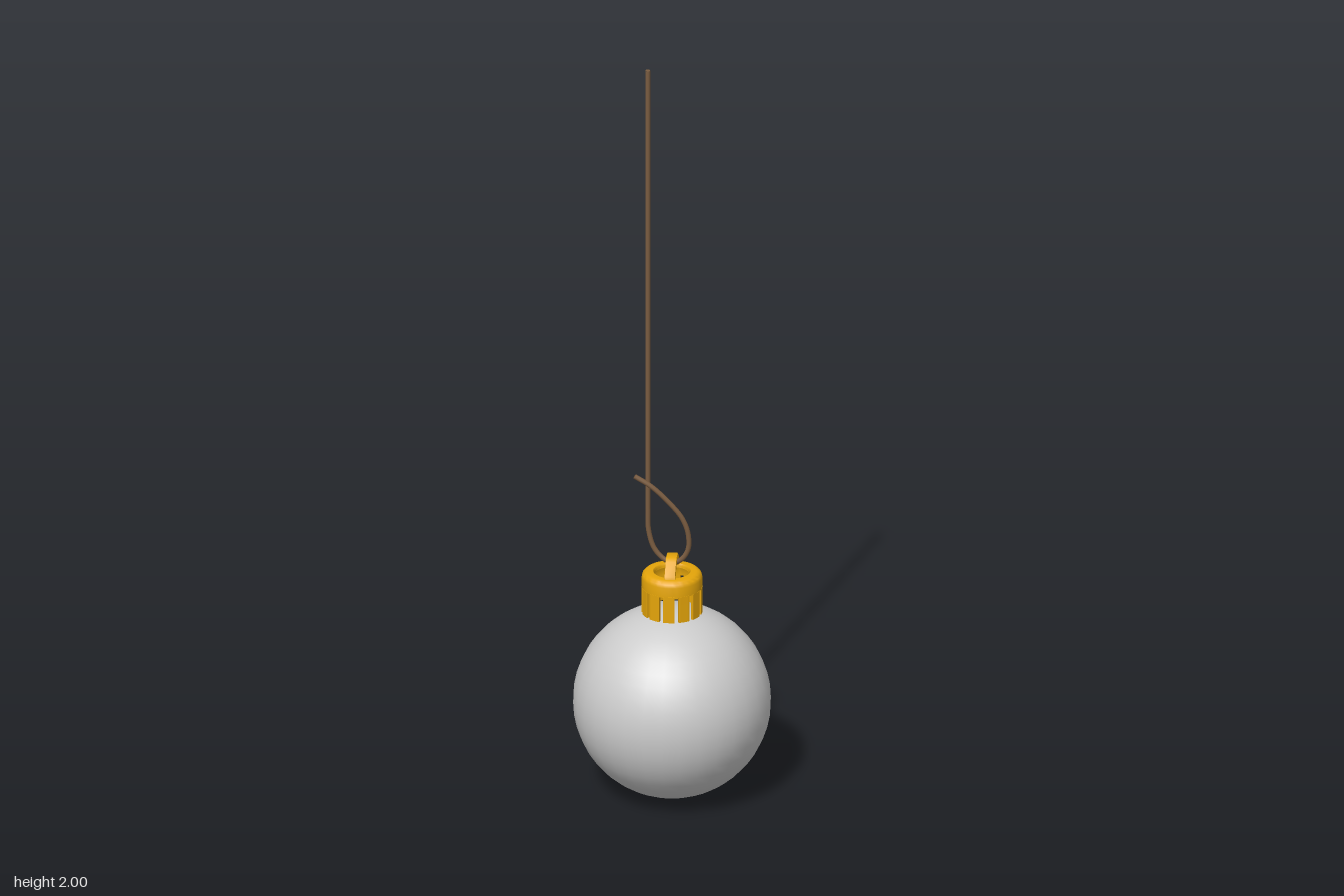
import * as THREE from 'three';
import { toCreasedNormals } from 'three/addons/utils/BufferGeometryUtils.js';

const V2 = (x, y) => new THREE.Vector2(x, y);
const V3 = (x, y, z) => new THREE.Vector3(x, y, z);

export function createModel() {
  const model = new THREE.Group();
  const glass = new THREE.MeshStandardMaterial({ color: 0xcccccc });
  const gold = new THREE.MeshStandardMaterial({ color: 0xe5a50a, side: THREE.DoubleSide });
  const twine = new THREE.MeshStandardMaterial({ color: 0x7a5c40 });

  const add = (name, geometry, material, parent = model) => {
    const mesh = new THREE.Mesh(geometry, material);
    mesh.name = name;
    parent.add(mesh);
    return mesh;
  };

  // Round bauble
  add('bauble', new THREE.SphereGeometry(0.252, 32, 24), glass).position.y = 0.252;

  // Cap: rounded collar with a hole in its top
  const cap = new THREE.Group();
  cap.name = 'cap';
  model.add(cap);
  const collar = [
    V2(0.07, 0.568), V2(0.077, 0.568), V2(0.077, 0.595), V2(0.075, 0.603), V2(0.069, 0.609),
    V2(0.062, 0.611), V2(0.048, 0.611), V2(0.044, 0.606), V2(0.044, 0.601), V2(0.064, 0.6),
    V2(0.07, 0.594), V2(0.07, 0.568),
  ];
  add('collar', toCreasedNormals(new THREE.LatheGeometry(collar, 48), 0.8), gold, cap);

  // Twelve tabs hanging from the collar, with narrow slots between them
  const count = 12;
  const half = Math.PI / count - 0.07;
  const sector = new THREE.Shape();
  sector.absarc(0, 0, 0.0775, -half, half, false);
  sector.absarc(0, 0, 0.07, half, -half, true);
  sector.closePath();
  const tab = new THREE.ExtrudeGeometry(sector, { depth: 0.071, bevelEnabled: false, curveSegments: 6 });
  tab.rotateX(-Math.PI / 2);
  const tabGeometry = toCreasedNormals(tab, 0.6);
  for (let i = 0; i < count; i++) {
    const mesh = add('capTab', tabGeometry, gold, cap);
    mesh.position.y = 0.499;
    mesh.rotation.y = (i / count) * Math.PI * 2;
  }

  // Bent strap that the string passes under
  const strap = new THREE.Shape([
    V2(-0.057, 0.606), V2(-0.055, 0.617), V2(-0.026, 0.645), V2(-0.016, 0.652), V2(0.016, 0.652),
    V2(0.026, 0.645), V2(0.055, 0.617), V2(0.057, 0.606), V2(0.047, 0.606), V2(0.044, 0.614),
    V2(0.02, 0.637), V2(0.013, 0.642), V2(-0.013, 0.642), V2(-0.02, 0.637), V2(-0.044, 0.614),
    V2(-0.047, 0.606),
  ]);
  const strapGeometry = new THREE.ExtrudeGeometry(strap, {
    depth: 0.022, bevelThickness: 0.003, bevelSize: 0.002, bevelSegments: 2,
  });
  strapGeometry.translate(0, 0, -0.011).rotateY(-Math.PI / 2);
  add('strap', toCreasedNormals(strapGeometry, 0.7), gold, cap);

  // String: long straight run, then a loose loop back from under the strap
  const r = 0.0065;
  const path = new THREE.CurvePath();
  path.add(new THREE.LineCurve3(V3(-0.062, 2, -0.003), V3(-0.062, 0.78, -0.003)));
  const loop = new THREE.CatmullRomCurve3([
    V3(-0.062, 0.78, -0.003), V3(-0.06, 0.72, -0.003), V3(-0.046, 0.671, -0.003),
    V3(-0.022, 0.643, -0.002), V3(0, 0.634, 0), V3(0.024, 0.645, 0.004), V3(0.042, 0.676, 0.008),
    V3(0.042, 0.722, 0.011), V3(0.028, 0.762, 0.013), V3(0, 0.8, 0.015),
    V3(-0.05, 0.85, 0.018), V3(-0.093, 0.878, 0.02),
  ]);
  path.add(loop);
  const string = new THREE.Group();
  string.name = 'string';
  model.add(string);
  add('straightRun', new THREE.TubeGeometry(path.curves[0], 1, r, 10), twine, string);
  add('looseLoop', new THREE.TubeGeometry(loop, 64, r, 10), twine, string);

  // Closed string ends
  const top = add('stringTop', new THREE.CircleGeometry(r, 10), twine, string);
  top.position.set(-0.062, 2, -0.003);
  top.rotation.x = -Math.PI / 2;
  const end = add('stringEnd', new THREE.CircleGeometry(r, 10), twine, string);
  end.position.copy(loop.getPoint(1));
  end.quaternion.setFromUnitVectors(V3(0, 0, 1), loop.getTangent(1));

  return model;
}
